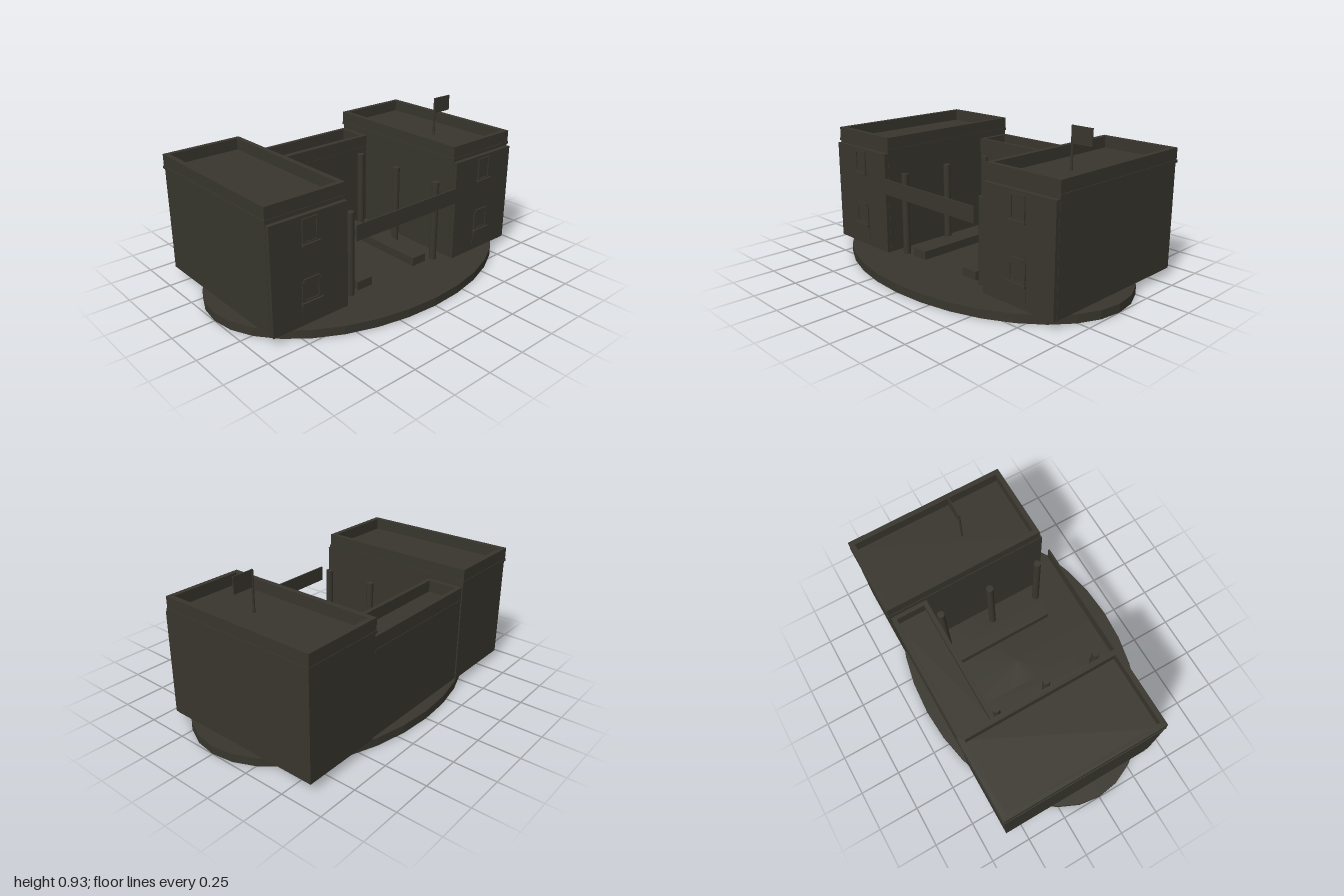
import * as THREE from 'three';

export function createModel() {
  const model = new THREE.Group();
  const stone = new THREE.MeshStandardMaterial({ color: 0x38362d });
  stone.name = 'dark stone';

  const add = (parent, name, geometry) => {
    const mesh = new THREE.Mesh(geometry, stone);
    mesh.name = name;
    parent.add(mesh);
    return mesh;
  };
  // Box given by its lower and upper limits on each axis
  const box = (parent, name, x0, x1, y0, y1, z0, z1) => {
    const mesh = add(parent, name, new THREE.BoxGeometry(x1 - x0, y1 - y0, z1 - z0));
    mesh.position.set((x0 + x1) / 2, (y0 + y1) / 2, (z0 + z1) / 2);
    return mesh;
  };
  const rect = (target, x0, x1, y0, y1) => {
    target.moveTo(x0, y0);
    target.lineTo(x1, y0);
    target.lineTo(x1, y1);
    target.lineTo(x0, y1);
    target.closePath();
    return target;
  };
  // Rectangular ring in the XY plane, extruded along z
  const ring = (x0, x1, y0, y1, rim, depth) => {
    const shape = rect(new THREE.Shape(), x0, x1, y0, y1);
    shape.holes.push(rect(new THREE.Path(), x0 + rim, x1 - rim, y0 + rim, y1 - rim));
    return new THREE.ExtrudeGeometry(shape, { depth, bevelEnabled: false });
  };
  // Upright parapet wall around a flat roof
  const parapet = (parent, x0, x1, z0, z1, y0, y1, rim) => {
    const mesh = add(parent, 'parapet', ring(x0, x1, -z1, -z0, rim, y1 - y0));
    mesh.rotation.x = -Math.PI / 2;
    mesh.position.y = y0;
  };
  const frame = (parent, name, x0, x1, y0, y1, rim, z0, depth) => {
    add(parent, name, ring(x0, x1, y0, y1, rim, depth)).position.z = z0;
  };

  // Oval ground plate
  const base = new THREE.CylinderGeometry(1, 1, 0.05, 32).scale(1, 1, 0.667).translate(0, 0.025, 0);
  add(model, 'base', base.toNonIndexed()).geometry.computeVertexNormals();

  // Two identical side wings
  for (const side of [-1, 1]) {
    const wing = new THREE.Group();
    wing.name = side > 0 ? 'leftWing' : 'rightWing';
    wing.position.x = side * 0.66;
    model.add(wing);

    box(wing, 'walls', -0.245, 0.245, 0.05, 0.69, -0.603, 0.386);
    box(wing, 'facade', -0.243, 0.243, 0.05, 0.665, 0.38, 0.411);
    box(wing, 'cornice', -0.252, 0.252, 0.675, 0.691, -0.61, 0.392);
    parapet(wing, -0.248, 0.248, -0.607, 0.389, 0.688, 0.76, 0.03);

    // Upper window
    frame(wing, 'upperWindowFrame', -0.05, 0.05, 0.51, 0.648, 0.012, 0.41, 0.009);
    box(wing, 'upperWindowPane', -0.038, 0.038, 0.522, 0.636, 0.405, 0.413);
    box(wing, 'upperSill', -0.056, 0.056, 0.503, 0.514, 0.41, 0.43);

    // Lower window with lintel and apron panel
    frame(wing, 'lowerWindowFrame', -0.06, 0.06, 0.18, 0.302, 0.016, 0.41, 0.009);
    box(wing, 'lowerWindowPane', -0.044, 0.044, 0.196, 0.286, 0.405, 0.413);
    box(wing, 'lintel', -0.05, 0.05, 0.3, 0.317, 0.41, 0.42);
    box(wing, 'lowerSill', -0.066, 0.066, 0.174, 0.187, 0.41, 0.43);
    box(wing, 'apron', -0.063, 0.063, 0.09, 0.176, 0.408, 0.415);

    // Courtyard columns and bench
    for (const z of [-0.33, 0, 0.33]) {
      const column = add(model, 'column', new THREE.CylinderGeometry(0.022, 0.022, 0.5, 12));
      column.position.set(side * 0.33, 0.3, z);
    }
    const bench = box(model, 'bench', -0.053, 0.053, 0.05, 0.102, -0.33, 0.326);
    bench.position.x = side * 0.217;
  }

  // Rear hall joining the wings
  const hall = new THREE.Group();
  hall.name = 'rearHall';
  model.add(hall);
  box(hall, 'hallWalls', -0.416, 0.416, 0.05, 0.58, -0.595, -0.375);
  box(hall, 'hallCornice', -0.41, 0.41, 0.563, 0.576, -0.601, -0.368);
  parapet(hall, -0.412, 0.412, -0.598, -0.371, 0.575, 0.65, 0.025);

  // Thin sign board across the entrance
  box(model, 'entranceBoard', -0.385, 0.385, 0.438, 0.53, 0.44, 0.449);

  // Flag on the left wing
  const pole = add(model, 'flagpole', new THREE.CylinderGeometry(0.007, 0.007, 0.245, 8));
  pole.position.set(0.655, 0.8085, 0);
  box(model, 'flag', 0.658, 0.785, 0.835, 0.931, -0.003, 0.003);

  return model;
}
